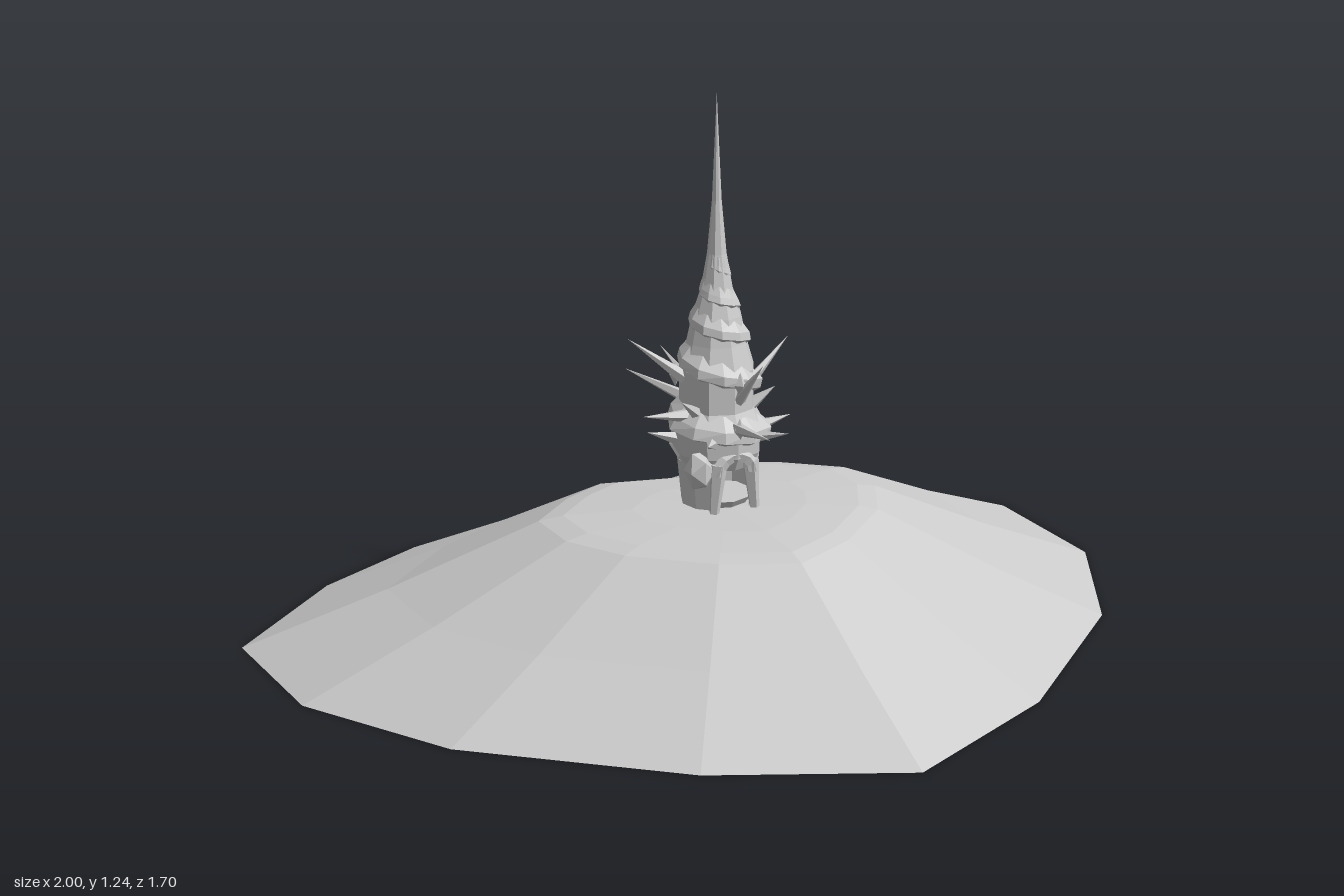
import * as THREE from 'three';

const mat = new THREE.MeshStandardMaterial({ color: 0xcccccc, flatShading: true, side: THREE.DoubleSide });
const V = (x, y, z) => new THREE.Vector3(x, y, z);

function add(parent, name, geometry, x = 0, y = 0, z = 0) {
  const mesh = new THREE.Mesh(geometry, mat);
  mesh.name = name;
  mesh.position.set(x, y, z);
  parent.add(mesh);
  return mesh;
}

// Skin a list of equal-length cross-sections.
function loft(rings, closed) {
  const n = rings[0].length, index = [];
  for (let r = 0; r < rings.length - 1; r++) {
    for (let i = 0; i < (closed ? n : n - 1); i++) {
      const j = (i + 1) % n, a = r * n + i, b = r * n + j;
      index.push(a, b, a + n, b, b + n, a + n);
    }
  }
  const g = new THREE.BufferGeometry().setFromPoints(rings.flat());
  g.setIndex(index);
  g.computeVertexNormals();
  return g;
}

// Tapered spike from a root point to a tip.
function spike(parent, name, root, tip, radius, sides = 5) {
  const dir = tip.clone().sub(root);
  const g = new THREE.ConeGeometry(radius, dir.length(), sides);
  g.translate(0, dir.length() / 2, 0);
  const mesh = add(parent, name, g, root.x, root.y, root.z);
  mesh.quaternion.setFromUnitVectors(V(0, 1, 0), dir.normalize());
}

// Tower core radius as a function of height.
const core = [[0.40, 0.085], [0.43, 0.1], [0.49, 0.105], [0.53, 0.085], [0.62, 0.085],
  [0.68, 0.068], [0.74, 0.055], [0.8, 0.036], [0.88, 0.022], [1.0, 0.011], [1.24, 0]];
function coreRadius(y) {
  for (let i = 1; i < core.length; i++) {
    const [y0, r0] = core[i - 1], [y1, r1] = core[i];
    if (y <= y1) return r0 + (r1 - r0) * Math.max(0, (y - y0) / (y1 - y0));
  }
  return 0;
}

export function createModel() {
  const model = new THREE.Group();

  // Heart-shaped island, hollow underneath
  const half = [[0, 0.85], [0.41, 0.65], [0.81, 0.29], [1, -0.07], [1, -0.44], [0.69, -0.71], [0.41, -0.85], [0, -0.745]];
  const outline = [...half, ...half.slice(1, -1).reverse().map(([x, z]) => [-x, z])];
  const levels = [[1, 0], [0.7, 0.132], [0.39, 0.284], [0.34, 0.296], [0.2, 0.306], [0, 0.308]];
  add(model, 'island', loft(levels.map(([s, y]) => outline.map(([x, z]) => V(x * s, y, z * s))), true));

  const tower = new THREE.Group();
  tower.name = 'tower';
  tower.position.z = -0.06;
  model.add(tower);

  // Foot with a gap at the front for the doorway, and a peg under the ground
  const wall = [[0.082, 0.3], [0.088, 0.36], [0.095, 0.43]].map(([r, y]) => new THREE.Vector2(r, y));
  add(tower, 'footWall', new THREE.LatheGeometry(wall, 9, 0.5, Math.PI * 2 - 1));
  add(tower, 'groundPeg', new THREE.CylinderGeometry(0.08, 0.035, 0.06, 9), 0, 0.295, 0);

  // Tapering body and needle
  add(tower, 'body', new THREE.LatheGeometry(core.map(([y, r]) => new THREE.Vector2(r, y)), 9));
  add(tower, 'bodyFloor', new THREE.CylinderGeometry(0.085, 0.085, 0.01, 9), 0, 0.405, 0);

  // Overlapping shell whorl climbing around the body
  const turns = [0.41, 0.49, 0.63, 0.72, 0.79, 0.86, 0.93];
  const sections = [], steps = 10;
  for (let i = 0; i <= (turns.length - 2) * steps; i++) {
    const k = Math.floor(i / steps), f = (i % steps) / steps;
    const y = turns[k] + (turns[k + 1] - turns[k]) * f;
    const a = Math.PI + (i / steps) * Math.PI * 2;
    const fade = Math.min(1, i / 3) * (1 - i / ((turns.length - 2) * steps));
    const out = 0.025 * fade, h = 0.016 + 0.03 * fade;
    const at = (r, dy) => V(Math.cos(a) * r, y + dy, Math.sin(a) * r);
    const r0 = coreRadius(y), r1 = coreRadius(y + h);
    sections.push([at(r0 * 0.9, -0.012), at(r0 + out * 0.7, 0), at(r1 + out, h * 0.6), at(r1 * 0.9, h + 0.012)]);
  }
  add(tower, 'whorl', loft(sections, true));

  // Doorway posts, lintel and the lip hanging beside it
  for (const s of [-1, 1]) {
    const post = add(tower, 'doorPost', new THREE.CylinderGeometry(0.02, 0.011, 0.12, 5), s * 0.045, 0.36, 0.082);
    post.rotation.z = s * 0.1;
  }
  add(tower, 'doorLintel', new THREE.TorusGeometry(0.042, 0.016, 5, 7, Math.PI), 0, 0.395, 0.085);
  const lip = add(tower, 'shellLip', new THREE.IcosahedronGeometry(0.035, 0), -0.075, 0.405, 0.06);
  lip.scale.set(1, 1.4, 1);

  // Hooded windows
  for (const [a, y] of [[0, 0.5], [0.1, 0.6], [2.1, 0.59], [4.2, 0.6], [Math.PI, 0.5]]) {
    const r = coreRadius(y) + 0.008;
    const w = add(tower, 'window', new THREE.OctahedronGeometry(0.018, 0), Math.sin(a) * r, y, Math.cos(a) * r);
    w.scale.set(0.8, 1.6, 0.8);
  }

  // Thorns, given by their tips
  const tips = [[0, 0.59, -0.28], [0.11, 0.57, -0.21], [-0.12, 0.57, -0.22], [-0.2, 0.7, -0.04],
    [0.2, 0.65, -0.04], [-0.2, 0.54, 0.03], [0.17, 0.49, 0.03], [0, 0.52, 0.25], [0.1, 0.49, 0.15],
    [-0.1, 0.49, 0.15], [0.03, 0.66, 0.16], [0.02, 0.66, -0.15], [0.05, 0.49, -0.13], [-0.16, 0.48, -0.03],
    [0.12, 0.57, 0.05], [-0.12, 0.57, 0.06]];
  for (const [x, y, z] of tips) {
    const d = Math.hypot(x, z), rootY = y > 0.55 ? Math.max(0.53, y - 0.1) : y - 0.02;
    const r = coreRadius(rootY) * 0.9;
    spike(tower, 'thorn', V(x / d * r, rootY, z / d * r), V(x, y, z), 0.016);
  }
  return model;
}
